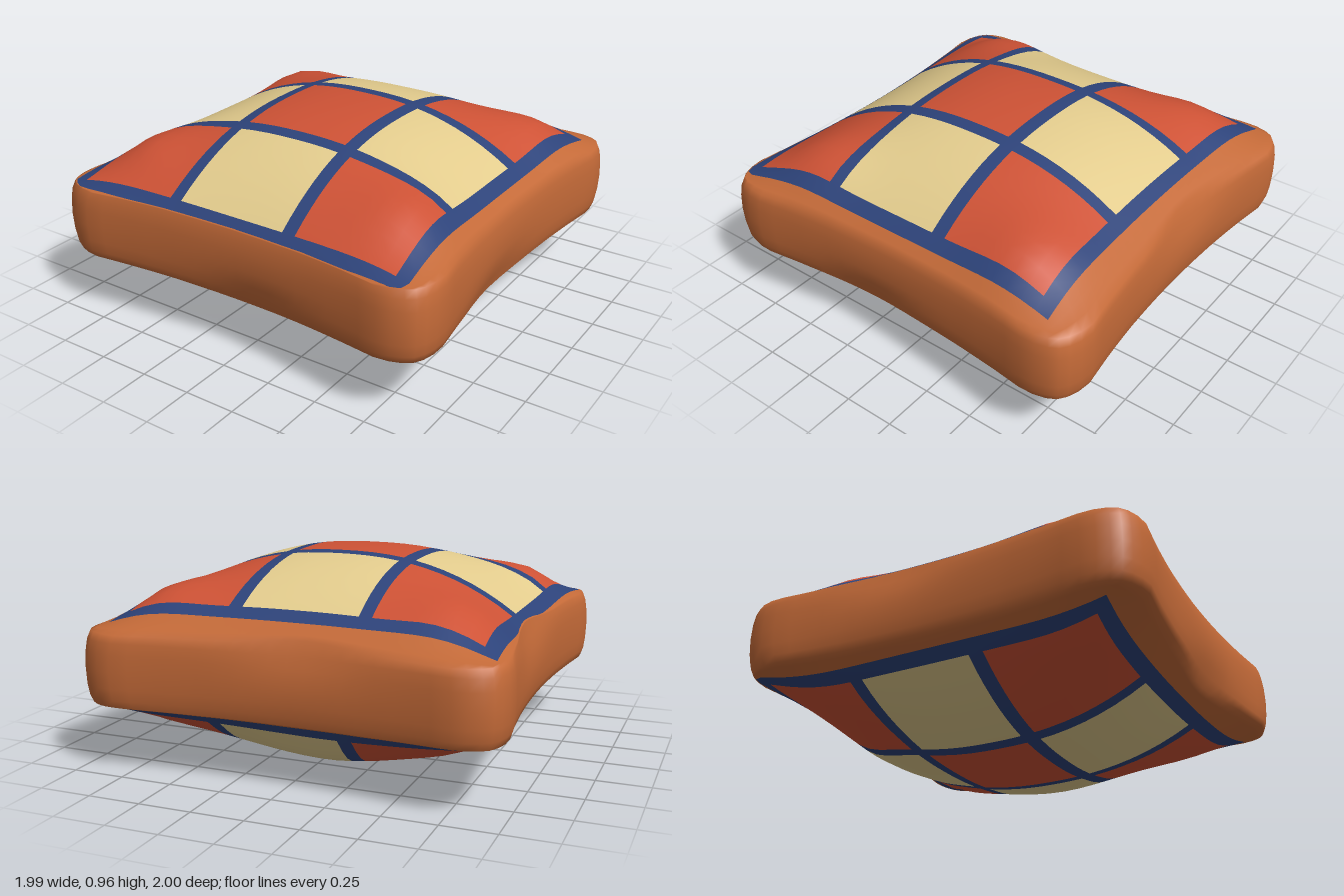
import * as THREE from 'three';

const material = (name, color) => {
  const m = new THREE.MeshStandardMaterial({ color });
  m.name = name;
  return m;
};

const HEIGHT = 0.965;

// Half width of the cushion for a direction: t = 0 mid side, t = 1 corner
const RIM = [[0, 0.938], [0.2, 0.942], [0.42, 0.952], [0.62, 0.972], [0.8, 1], [0.9, 0.985], [1, 0.95]];
function halfWidth(x, z) {
  const a = Math.abs(x), b = Math.abs(z), t = Math.min(a, b) / Math.max(a, b, 1e-6);
  let k = 0;
  while (k < RIM.length - 2 && t > RIM[k + 1][0]) k++;
  const [t0, r0] = RIM[k], [t1, r1] = RIM[k + 1];
  return THREE.MathUtils.lerp(r0, r1, (t - t0) / (t1 - t0));
}
function onRim(x, z, scale) {
  const f = scale * halfWidth(x, z) / Math.max(Math.abs(x), Math.abs(z));
  return [x * f, z * f];
}

// Puffed height of the upper side, with fuller corners
const hump = (x, z, cx, cz, wx, wz) => Math.exp(-(((x - cx) / wx) ** 2) - ((z - cz) / wz) ** 2);
const edge = (a) => 0.93 + 0.07 * Math.min(1, (a / 0.8) ** 2);
const bulge = (a, e) => 1 - Math.min(1, Math.abs(a) / e) ** 2.4;
const puff = (x, z) => bulge(x, edge(z)) * bulge(z, edge(x));
const corner = (x, z) =>
  0.055 * hump(Math.abs(x), Math.abs(z), 0.74, 0.62, 0.24, 0.24) * Math.min(1, 3 * puff(x, z));
const topY = (x, z) => 0.642 + 0.323 * puff(x, z) + corner(x, z);

// Dents in the shoulder at the middle of two sides
const dent = (x, z) => 0.04 * (hump(x, z, -0.12, -0.93, 0.28, 0.3) + hump(x, z, -0.93, -0.16, 0.3, 0.28));

// Border and patch lines, subdivided; bands 1, 3, 5 are patches
const X_LINES = [-0.92, -0.855, -0.36, -0.3, 0.25, 0.315, 0.815, 0.878];
const Z_LINES = [-0.82, -0.755, -0.22, -0.15, 0.39, 0.45, 0.89, 0.95];
function subdivide(lines) {
  const at = [], band = [];
  for (let b = 0; b < 7; b++) {
    const steps = b % 2 ? 7 : 1;
    for (let s = 0; s < steps; s++) {
      at.push(THREE.MathUtils.lerp(lines[b], lines[b + 1], s / steps));
      band.push(b);
    }
  }
  at.push(lines[7]);
  return { at, band };
}
const cols = subdivide(X_LINES), rows = subdivide(Z_LINES), N = cols.band.length;

function panelPoint(i, j) {
  const x0 = cols.at[i], z0 = rows.at[j];
  let x = x0 * (1 + 0.05 * (z0 * z0 - 0.4)), z = z0 * (1 + 0.05 * (x0 * x0 - 0.4));
  const limit = 0.972 - dent(x, z);
  if (Math.max(Math.abs(x), Math.abs(z)) > limit * halfWidth(x, z)) [x, z] = onRim(x, z, limit);
  return [x, topY(x, z), z];
}
// The underside is the upper side turned through the centre, sagging at the back and left
function opposite([px, py, pz]) {
  const x = -px, z = -pz;
  const sag = 0.16 * hump(x, z, -0.15, -0.8, 0.45, 0.2) + 0.08 * hump(x, z, 0.7, -0.1, 0.22, 0.35);
  return [x, HEIGHT - py - sag * puff(x, z) + 0.6 * corner(x, z), z];
}

function geometryFrom(points, index) {
  const g = new THREE.BufferGeometry();
  g.setAttribute('position', new THREE.Float32BufferAttribute(points.flat(), 3));
  g.setIndex(index);
  g.computeVertexNormals();
  return g;
}

// Checkered panel: groups are border, red patches, cream patches
function panelGeometry(under) {
  const points = [], faces = [[], [], []];
  for (let j = 0; j <= N; j++)
    for (let i = 0; i <= N; i++) {
      const p = panelPoint(i, j);
      points.push(under ? opposite(p) : p);
    }
  for (let j = 0; j < N; j++)
    for (let i = 0; i < N; i++) {
      const a = j * (N + 1) + i, b = a + N + 1, c = b + 1, d = a + 1;
      const bi = cols.band[i], bj = rows.band[j];
      const group = bi % 2 && bj % 2 ? (((bi + bj) / 2) % 2 ? 1 : 2) : 0;
      faces[group].push(...(under ? [a, c, b, a, d, c] : [a, b, c, a, c, d]));
    }
  const g = geometryFrom(points, faces.flat());
  let start = 0;
  faces.forEach((f, k) => {
    g.addGroup(start, f.length, k);
    start += f.length;
  });
  return g;
}

// Side band: loops from the upper panel outline, round the wall, to the lower one
function bandGeometry() {
  const outline = [];
  for (let i = 0; i < N; i++) outline.push(panelPoint(i, 0));
  for (let j = 0; j < N; j++) outline.push(panelPoint(N, j));
  for (let i = N; i > 0; i--) outline.push(panelPoint(i, N));
  for (let j = N; j > 0; j--) outline.push(panelPoint(0, j));
  const count = outline.length, half = count / 2;
  const turn = (loop) => loop.map((_, i) => opposite(loop[(i + half) % count]));
  const under = turn(outline);
  const direction = outline.map((p, i) => [p[0] + under[i][0], p[2] + under[i][2]]);
  const wall = (scale, dented, y) => direction.map(([x, z]) => {
    const [rx, rz] = onRim(x, z, scale);
    const [a, b] = onRim(x, z, scale - dented * dent(rx, rz));
    return [a, y ?? topY(a, b), b];
  });
  const shoulder = wall(0.978, 1);
  const between = (t) => outline.map((p, i) => {
    const x = THREE.MathUtils.lerp(p[0], shoulder[i][0], t);
    const z = THREE.MathUtils.lerp(p[2], shoulder[i][2], t);
    return [x, topY(x, z), z];
  });
  const upper = [outline, between(0.35), between(0.7), shoulder, wall(0.99, 0.7, 0.615), wall(0.997, 0.35, 0.56)];
  const loops = [...upper, wall(1, 0, HEIGHT / 2), ...upper.map(turn).reverse()];
  const index = [];
  for (let k = 0; k < loops.length - 1; k++)
    for (let i = 0; i < count; i++) {
      const n = (i + 1) % count;
      const a = k * count + i, b = k * count + n, c = b + count, d = a + count;
      index.push(a, b, c, a, c, d);
    }
  return geometryFrom(loops.flat(), index);
}

export function createModel() {
  const orange = material('orange cloth', 0xc46a38);
  const patchwork = [
    material('blue border', 0x2d437a),
    material('red patch', 0xce5235),
    material('cream patch', 0xe3cc8d),
  ];
  const group = new THREE.Group();
  group.name = 'cushion';
  const add = (name, geometry, mat) => {
    const mesh = new THREE.Mesh(geometry, mat);
    mesh.name = name;
    group.add(mesh);
  };
  add('sideBand', bandGeometry(), orange);
  add('topPanel', panelGeometry(false), patchwork);
  add('bottomPanel', panelGeometry(true), patchwork);
  return group;
}
